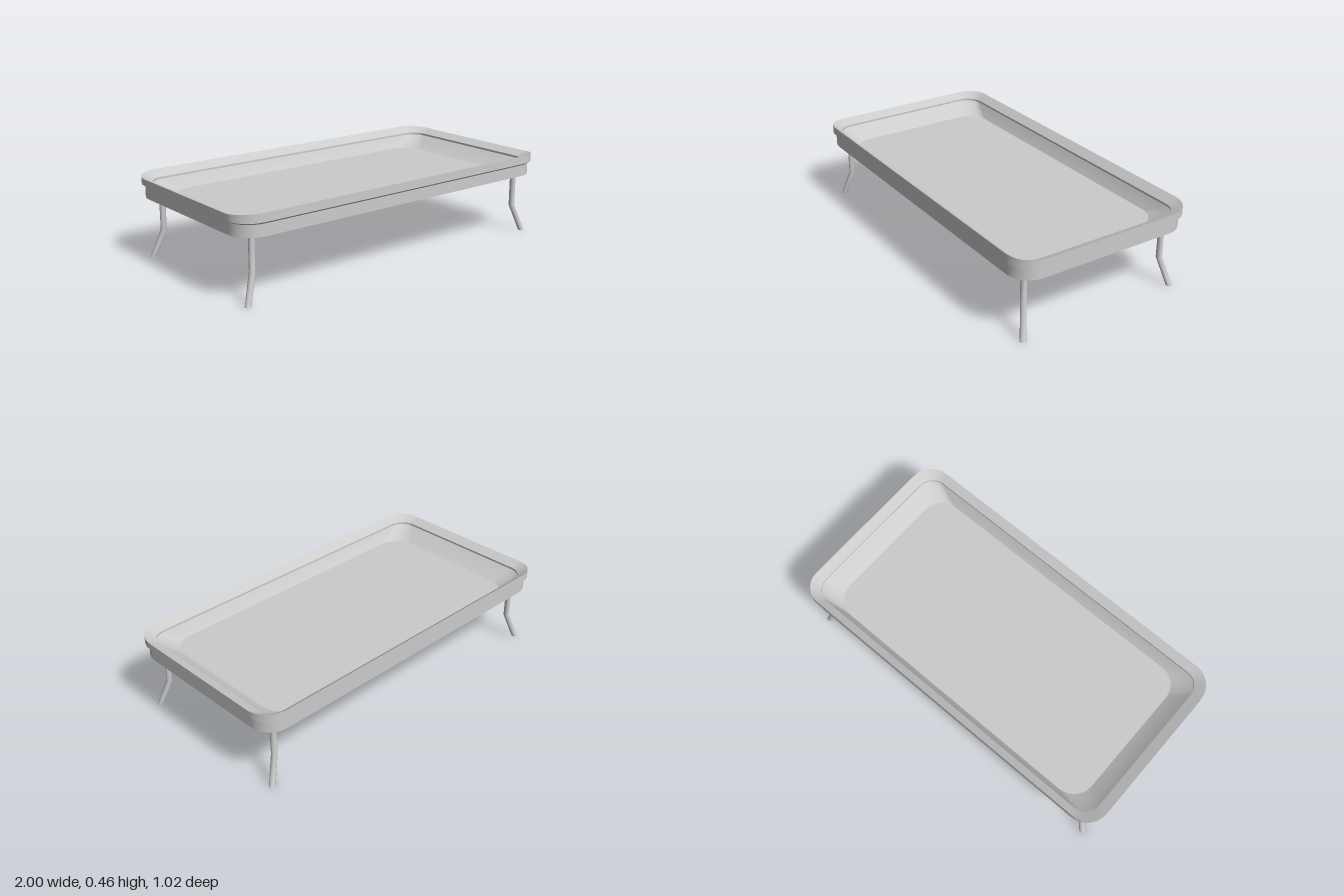
import * as THREE from 'three';
import { mergeGeometries } from 'three/addons/utils/BufferGeometryUtils.js';

const CORNER_STEPS = 6;

// One rounded-rectangle ring; lift raises the long sides above the short ones.
function ring([hx, hz, r, y, lift = 0]) {
  const points = [];
  for (let q = 0; q < 4; q++) {
    const sx = q === 0 || q === 3 ? 1 : -1;
    const sz = q < 2 ? 1 : -1;
    for (let i = 0; i <= CORNER_STEPS; i++) {
      const a = (q + i / CORNER_STEPS) * Math.PI / 2;
      points.push([
        sx * (hx - r) + r * Math.cos(a),
        y + lift * Math.abs(Math.sin(a)),
        sz * (hz - r) + r * Math.sin(a),
      ]);
    }
  }
  return points;
}

// Smooth skin through a run of rings, with hard edges at its ends.
function skin(sections) {
  const rings = sections.map(ring);
  const n = rings[0].length;
  const index = [];
  for (let k = 0; k < rings.length - 1; k++) {
    for (let i = 0; i < n; i++) {
      const j = (i + 1) % n;
      const a = k * n + i, b = k * n + j, c = a + n, d = b + n;
      index.push(a, c, b, b, c, d);
    }
  }
  const g = new THREE.BufferGeometry();
  g.setAttribute('position', new THREE.Float32BufferAttribute(rings.flat(2), 3));
  g.setIndex(index);
  g.computeVertexNormals();
  return g;
}

// Round leg with level ends: upright above the knee, splayed out below it.
function legGeometry(sx, sz) {
  const g = new THREE.CylinderGeometry(0.016, 0.016, 1, 16, 2);
  const p = g.attributes.position;
  for (let i = 0; i < p.count; i++) {
    const t = p.getY(i);
    const foot = t < -0.25;
    p.setXYZ(i,
      p.getX(i) + sx * (foot ? 0.938 : 0.887),
      foot ? 0 : t > 0.25 ? 0.345 : 0.15,
      p.getZ(i) + sz * (foot ? 0.453 : 0.418));
  }
  // Keep the flat foot and top caps crisp and the sides smooth.
  g.computeVertexNormals();
  return g;
}

export function createModel() {
  const model = new THREE.Group();
  const material = new THREE.MeshStandardMaterial({ color: 0xcccccc, side: THREE.DoubleSide });
  const add = (name, geometry) => {
    const mesh = new THREE.Mesh(geometry, material);
    mesh.name = name;
    model.add(mesh);
  };

  // Sections: half width, half depth, corner radius, height, lift of long sides
  const bottomCentre = [0, 0, 0, 0.34];
  const baseBottom = [0.985, 0.5, 0.12, 0.34];
  const baseTop = [0.985, 0.5, 0.12, 0.402];
  const rimBottom = [1, 0.512, 0.125, 0.412];
  const rimTop = [1, 0.512, 0.125, 0.447, 0.01];
  const rimInner = [0.945, 0.468, 0.09, 0.422];
  const grooveBottom = [0.945, 0.468, 0.09, 0.411];
  const wallMiddle = [0.9, 0.449, 0.1, 0.376];
  const floorEdge = [0.85, 0.429, 0.12, 0.348];
  const floorCentre = [0, 0, 0, 0.348];

  add('trayBase', mergeGeometries([
    skin([bottomCentre, baseBottom]),
    skin([baseBottom, baseTop]),
  ]));
  add('trayRim', mergeGeometries([
    skin([baseTop, rimBottom]),
    skin([rimBottom, rimTop]),
    skin([rimTop, rimInner]),
    skin([rimInner, grooveBottom]),
  ]));
  add('trayInnerWall', skin([grooveBottom, wallMiddle, floorEdge]));
  add('trayFloor', skin([floorEdge, floorCentre]));

  for (const [name, sx, sz] of [
    ['frontLeftLeg', 1, 1], ['frontRightLeg', -1, 1],
    ['backLeftLeg', 1, -1], ['backRightLeg', -1, -1],
  ]) add(name, legGeometry(sx, sz));

  return model;
}
